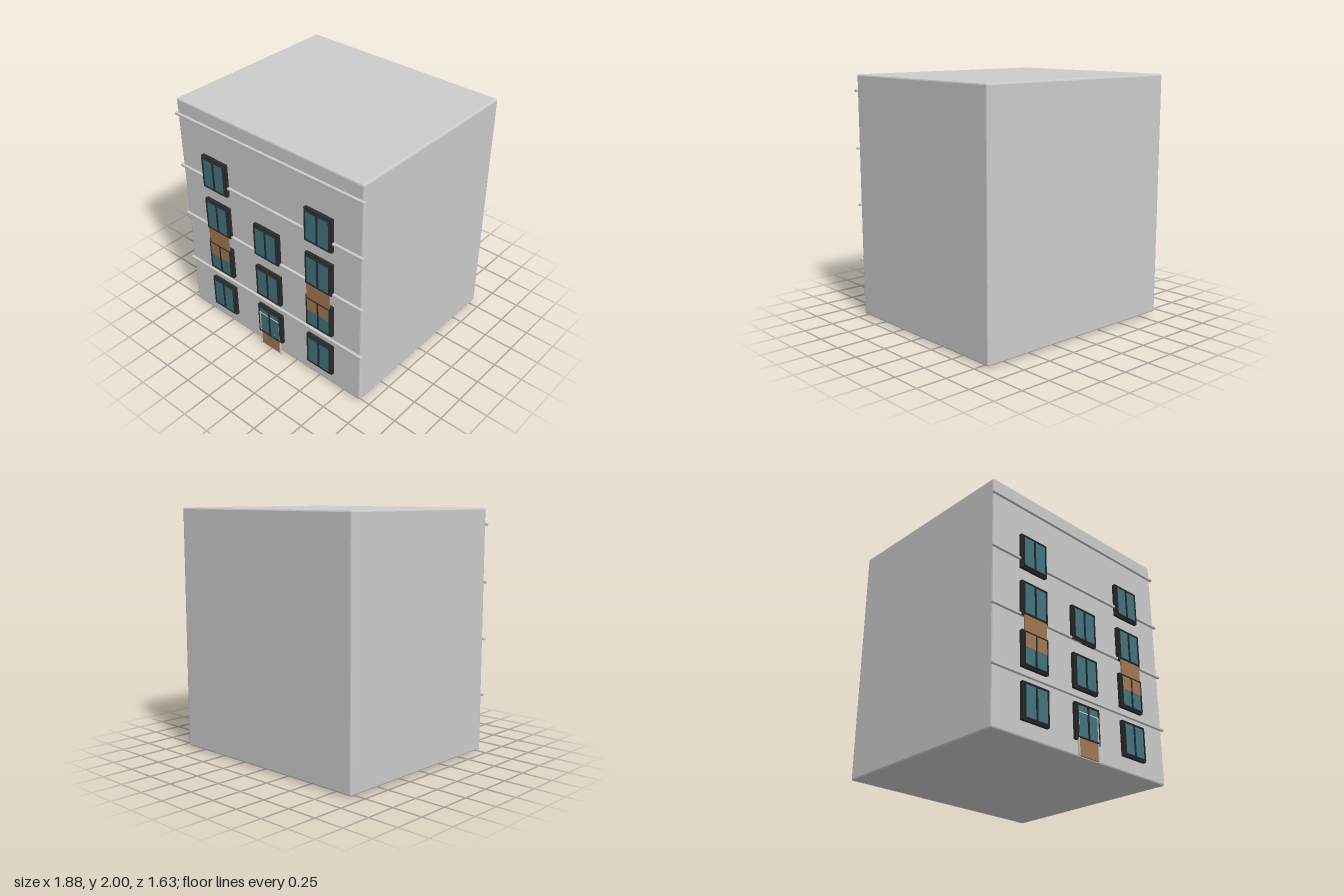
import * as THREE from 'three';
import { RoundedBoxGeometry } from 'three/addons/geometries/RoundedBoxGeometry.js';

const mat = (color) => new THREE.MeshStandardMaterial({ color, flatShading: true });
const grey = mat(0xcccccc);
const dark = mat(0x2a2a2a);
const glass = mat(0x42747f);
const wood = mat(0xa07752);

// Box given by its limits; a bevel chamfers every edge
function block(name, material, [x0, x1], [y0, y1], [z0, z1], bevel = 0) {
  const size = [x1 - x0, y1 - y0, z1 - z0];
  const geometry = bevel
    ? new RoundedBoxGeometry(...size, 1, bevel)
    : new THREE.BoxGeometry(...size);
  const mesh = new THREE.Mesh(geometry, material);
  mesh.name = name;
  mesh.position.set((x0 + x1) / 2, (y0 + y1) / 2, (z0 + z1) / 2);
  return mesh;
}

// Rectangular ring extruded between z0 and z1
function ring(name, w, h, border, z0, z1) {
  const rect = (Type, a, b) => new Type([
    new THREE.Vector2(-a, -b), new THREE.Vector2(a, -b),
    new THREE.Vector2(a, b), new THREE.Vector2(-a, b),
  ]);
  const shape = rect(THREE.Shape, w / 2, h / 2);
  shape.holes.push(rect(THREE.Path, w / 2 - border, h / 2 - border));
  const geometry = new THREE.ExtrudeGeometry(shape, { depth: z1 - z0, bevelEnabled: false });
  const mesh = new THREE.Mesh(geometry, dark);
  mesh.name = name;
  mesh.position.z = z0;
  return mesh;
}

// Two-pane window with outer frame, sash and centre mullion
function makeWindow(x, y) {
  const win = new THREE.Group();
  win.name = 'window';
  win.add(ring('windowFrame', 0.26, 0.286, 0.016, 0.772, 0.803));
  win.add(ring('windowSash', 0.236, 0.262, 0.008, 0.772, 0.816));
  win.add(block('windowMullion', dark, [-0.006, 0.006], [-0.125, 0.125], [0.78, 0.816]));
  for (const s of [-1, 1]) {
    const pane = block('windowPane', glass, [-0.053, 0.053], [-0.124, 0.124], [0.775, 0.807]);
    pane.position.x = s * 0.059;
    win.add(pane);
  }
  win.position.set(x, y, 0);
  return win;
}

export function createModel() {
  const model = new THREE.Group();
  model.name = 'apartmentBuilding';

  // Main block with chamfered edges
  model.add(block('buildingBody', grey, [-0.925, 0.925], [0.01, 2], [-0.815, 0.775], 0.013));

  // Ledges across the facade
  for (const y of [0.475, 0.94, 1.405, 1.87]) {
    model.add(block('facadeLedge', grey, [-0.94, 0.94], [y - 0.01, y + 0.01], [0.77, 0.795], 0.004));
  }

  // Windows: side columns have four floors, the middle column three
  const floors = [0.275, 0.672, 1.073, 1.47];
  for (const x of [-0.533, 0, 0.533]) {
    floors.forEach((y, i) => {
      if (x !== 0 || i < 3) model.add(makeWindow(x, y));
    });
  }

  // Wooden panels between the second and third floors
  for (const x of [-0.533, 0.533]) {
    model.add(block('woodenPanel', wood, [x - 0.112, x + 0.112], [0.68, 0.935], [0.8, 0.812]));
  }

  // Entrance door with surround and knob
  const entrance = new THREE.Group();
  entrance.name = 'entrance';
  entrance.add(block('door', wood, [-0.1, 0.1], [0.01, 0.34], [0.795, 0.805]));
  for (const s of [-1, 1]) {
    const jamb = block('doorJamb', grey, [-0.004, 0.004], [0, 0.348], [0.795, 0.811]);
    jamb.position.x = s * 0.106;
    entrance.add(jamb);
  }
  entrance.add(block('doorLintel', grey, [-0.11, 0.11], [0.34, 0.348], [0.795, 0.811]));
  const knob = new THREE.Mesh(new THREE.SphereGeometry(0.005, 8, 6), grey);
  knob.name = 'doorKnob';
  knob.position.set(0.05, 0.178, 0.806);
  entrance.add(knob);
  model.add(entrance);

  return model;
}
